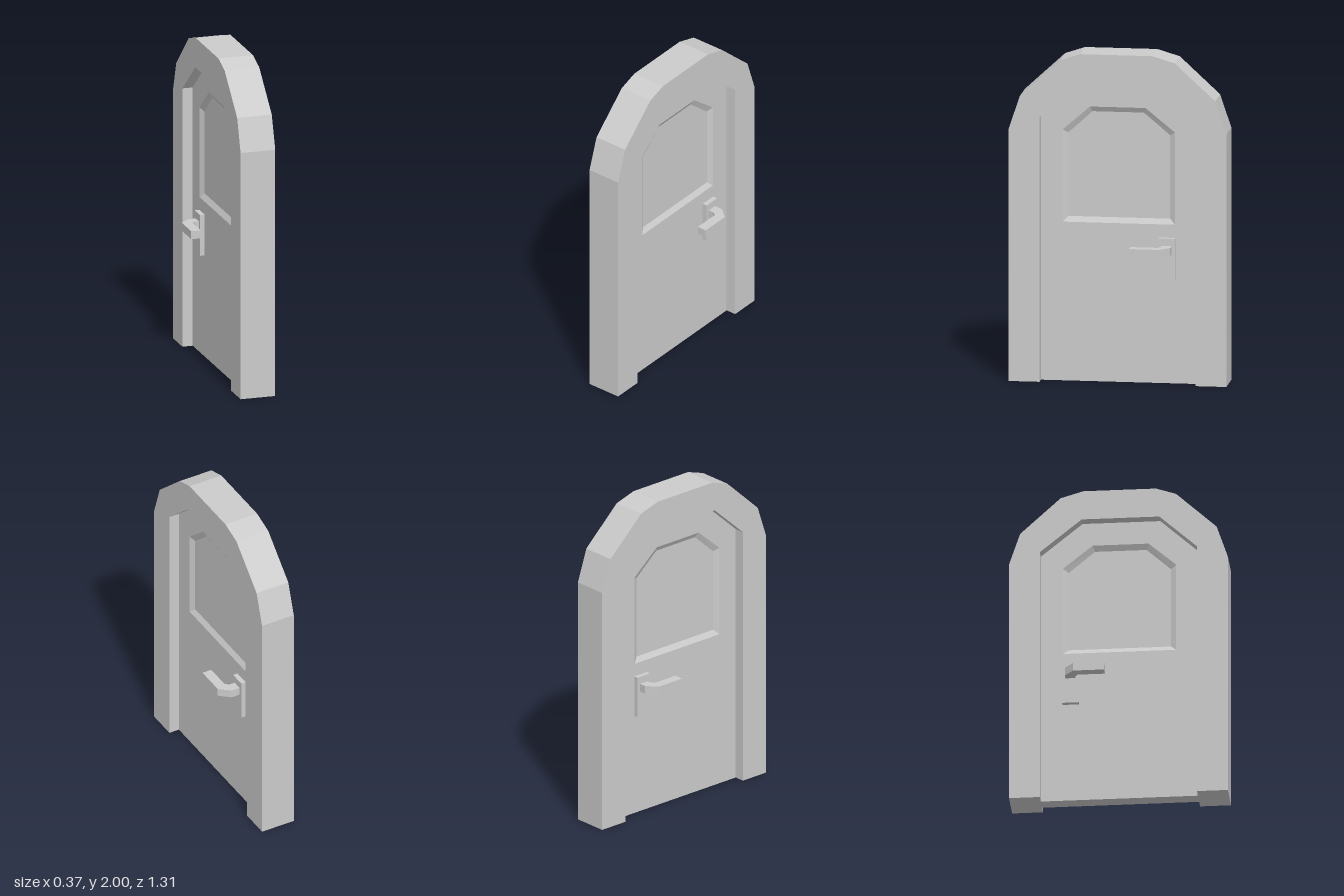
import * as THREE from 'three';

const material = new THREE.MeshStandardMaterial({ color: 0xcccccc, flatShading: true });
const shapeOf = (pts) => new THREE.Shape(pts.map(([u, v]) => new THREE.Vector2(u, v)));

// Outlines on the door's face: [u, y] with u = -z, anticlockwise seen from +x
const frameOutline = [
  [-0.655, 0], [-0.47, 0], [-0.47, 1.61], [-0.245, 1.815], [0.22, 1.815], [0.47, 1.61], [0.47, 0], [0.655, 0],
  [0.655, 1.535], [0.588, 1.735], [0.345, 1.96], [0.21, 2], [-0.225, 2], [-0.345, 1.96], [-0.588, 1.735], [-0.655, 1.535],
];
const doorOutline = [[-0.472, 0], [0.472, 0], [0.472, 1.61], [0.22, 1.817], [-0.245, 1.817], [-0.472, 1.61]];
const panelOuter = [[-0.34, 0.965], [0.337, 0.965], [0.337, 1.525], [0.16, 1.67], [-0.175, 1.67], [-0.34, 1.525]];
const panelInner = [[-0.308, 0.997], [0.305, 0.997], [0.305, 1.505], [0.147, 1.638], [-0.162, 1.638], [-0.308, 1.505]];

const DOOR_BACK = -0.05, DOOR_FRONT = 0.037, RECESS = 0.02;

function addMesh(parent, name, geometry) {
  const mesh = new THREE.Mesh(geometry, material);
  mesh.name = name;
  parent.add(mesh);
  return mesh;
}

// Slab with its face across z and y, from x0 to x1
function slab(shape, x0, x1) {
  return new THREE.ExtrudeGeometry(shape, { depth: x1 - x0, bevelEnabled: false })
    .translate(0, 0, x0).rotateY(Math.PI / 2);
}

// Sloping band between two matching outlines at different depths
function slopedBand(outer, xOuter, inner, xInner) {
  const pos = [], index = [], n = outer.length;
  outer.forEach(([u, y], i) => pos.push(xOuter, y, -u, xInner, inner[i][1], -inner[i][0]));
  for (let i = 0; i < n; i++) {
    const a = 2 * i, b = 2 * ((i + 1) % n);
    if (xOuter > xInner) index.push(a, b, b + 1, a, b + 1, a + 1);
    else index.push(a, b + 1, b, a, a + 1, b + 1);
  }
  const indexed = new THREE.BufferGeometry();
  indexed.setAttribute('position', new THREE.Float32BufferAttribute(pos, 3));
  indexed.setIndex(index);
  const g = indexed.toNonIndexed();
  g.computeVertexNormals();
  return g;
}

// Escutcheon plate and cranked lever on one face; side is +1 or -1
function buildHandle(side, faceX) {
  const group = new THREE.Group();
  group.name = side > 0 ? 'handleLeft' : 'handleRight';
  const plate = addMesh(group, 'handlePlate', new THREE.BoxGeometry(0.03, 0.255, 0.1));
  plate.position.set(faceX + side * 0.015, 0.7575, -0.29);

  const path = [[0.05, 0.26], [0.104, 0.26], [0.126, 0.242], [0.126, 0.08],
    [0.186, 0.08], [0.186, 0.265], [0.122, 0.32], [0.05, 0.32]];
  const lever = new THREE.ExtrudeGeometry(shapeOf(path.map(([x, u]) => [side * x, u])),
    { depth: 0.05, bevelEnabled: false });
  lever.rotateX(-Math.PI / 2).translate(0, 0.79, 0);
  addMesh(group, 'handleLever', lever);
  return group;
}

export function createModel() {
  const model = new THREE.Group();
  model.name = 'archedDoor';

  // Arched surround
  addMesh(model, 'doorFrame', slab(shapeOf(frameOutline), -0.115, 0.102));

  // Door leaf with an opening for the sunken panel
  const leaf = shapeOf(doorOutline);
  leaf.holes.push(shapeOf(panelOuter));
  addMesh(model, 'doorLeaf', slab(leaf, DOOR_BACK, DOOR_FRONT));

  // Sunken panel and its sloping edges on both faces
  const panelFront = DOOR_FRONT - RECESS, panelBack = DOOR_BACK + RECESS;
  addMesh(model, 'sunkenPanel', slab(shapeOf(panelInner), panelBack, panelFront));
  addMesh(model, 'panelBevelLeft', slopedBand(panelOuter, DOOR_FRONT, panelInner, panelFront));
  addMesh(model, 'panelBevelRight', slopedBand(panelOuter, DOOR_BACK, panelInner, panelBack));

  // Handles
  model.add(buildHandle(1, DOOR_FRONT), buildHandle(-1, DOOR_BACK));
  return model;
}
